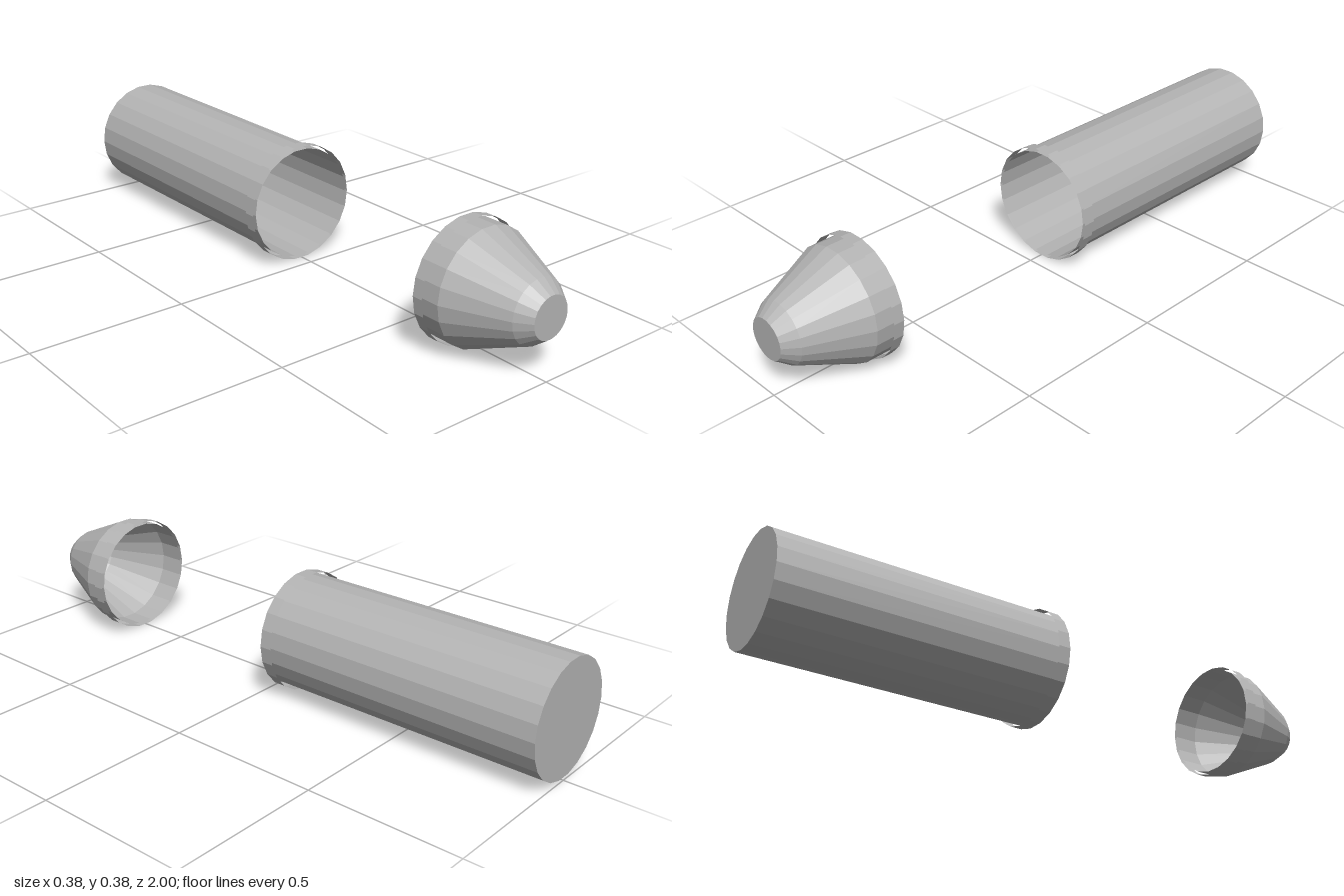
import * as THREE from 'three';

const SIDES = 22;
const AXIS_Y = 0.19;

export function createModel() {
  const model = new THREE.Group();
  model.name = 'capsuleParts';

  const grey = new THREE.MeshStandardMaterial({
    color: 0xb4b4b4, flatShading: true, side: THREE.DoubleSide,
  });
  grey.name = 'grey';

  function add(parent, name, geometry) {
    const mesh = new THREE.Mesh(geometry, grey);
    mesh.name = name;
    parent.add(mesh);
    return mesh;
  }

  // Open faceted shell around the z axis; profile is [radius, z] from back to front
  function shell(parent, name, profile) {
    const points = profile.map(([r, z]) => new THREE.Vector2(r, z));
    const geometry = new THREE.LatheGeometry(points, SIDES, Math.PI / 2);
    geometry.rotateX(Math.PI / 2);
    return add(parent, name, geometry);
  }

  // Flat end disc, facing forward or backward
  function disc(parent, name, radius, z, backward) {
    const geometry = new THREE.CircleGeometry(radius, SIDES);
    if (backward) geometry.rotateY(Math.PI);
    geometry.translate(0, 0, z);
    return add(parent, name, geometry);
  }

  function section(name) {
    const group = new THREE.Group();
    group.name = name;
    group.position.y = AXIS_Y;
    model.add(group);
    return group;
  }

  // Rear tube: closed at the back, open at the front, with a loose collar
  const tube = section('tube');
  shell(tube, 'tubeWall', [[0.182, -1], [0.182, -0.05]]);
  disc(tube, 'tubeEnd', 0.182, -1, true);
  shell(tube, 'tubeCollar', [[0.192, -0.09], [0.192, -0.05]]);

  // Nose cap: hollow taper with a blunt tip and a matching collar
  const nose = section('noseCap');
  shell(nose, 'noseWall', [[0.182, 0.68], [0.182, 0.765], [0.099, 0.955], [0.065, 1]]);
  disc(nose, 'noseTip', 0.065, 1, false);
  shell(nose, 'noseCollar', [[0.192, 0.68], [0.192, 0.715]]);

  return model;
}
